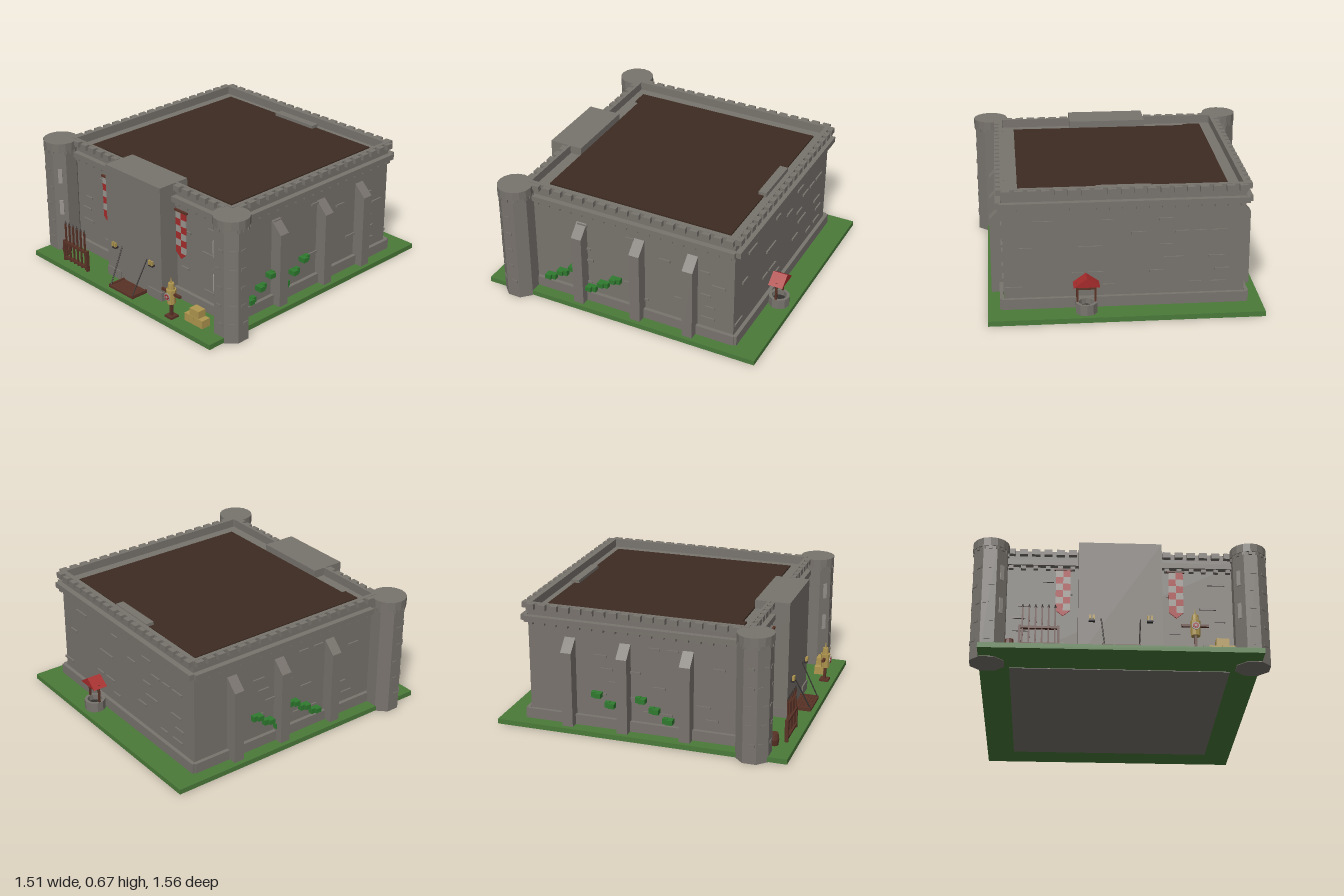
import * as THREE from 'three';
import { mergeGeometries } from 'three/addons/utils/BufferGeometryUtils.js';

const mat = (name, color) => {
  const m = new THREE.MeshStandardMaterial({ color, flatShading: true });
  m.name = name;
  return m;
};

export function createModel() {
  const root = new THREE.Group();
  root.name = 'castle';
  const stone = mat('stone', 0x78736d), grass = mat('grass', 0x4a7a39), roofBrown = mat('roofBrown', 0x3c2b21);
  const wood = mat('wood', 0x5a3226), red = mat('red', 0xa52b2b), straw = mat('straw', 0xb0964f);
  const leaf = mat('leaf', 0x2f7a2f), pale = mat('paleCloth', 0x9a958f), iron = mat('iron', 0x33302e);

  const add = (name, geo, material, parent = root) => {
    const m = new THREE.Mesh(geo, material);
    m.name = name;
    parent.add(m);
    return m;
  };
  // box from its limits on each axis
  const span = (x0, x1, y0, y1, z0, z1) =>
    new THREE.BoxGeometry(x1 - x0, y1 - y0, z1 - z0).translate((x0 + x1) / 2, (y0 + y1) / 2, (z0 + z1) / 2);
  const box = (w, h, d, x, y, z) => new THREE.BoxGeometry(w, h, d).translate(x, y, z);
  // thin rod between two points
  const rod = (a, b, r) => {
    const p = new THREE.Vector3(...a), q = new THREE.Vector3(...b), d = q.clone().sub(p);
    const g = new THREE.CylinderGeometry(r, r, d.length(), 6);
    g.applyQuaternion(new THREE.Quaternion().setFromUnitVectors(new THREE.Vector3(0, 1, 0), d.normalize()));
    return g.translate((p.x + q.x) / 2, (p.y + q.y) / 2, (p.z + q.z) / 2);
  };
  let seed = 7;
  const rand = () => (seed = (seed * 16807) % 2147483647) / 2147483647;

  // ground and floor
  add('grassBase', span(-0.7, 0.695, 0.003, 0.03, -0.75, 0.81), grass);
  add('floor', span(-0.55, 0.55, 0, 0.01, -0.58, 0.58), stone);

  // main block, parapet rim and roof
  add('walls', span(-0.61, 0.61, 0.01, 0.62, -0.595, 0.575), stone);
  const rim = new THREE.Shape([[-0.615, -0.58], [0.615, -0.58], [0.615, 0.6], [-0.615, 0.6]].map(p => new THREE.Vector2(...p)));
  rim.holes.push(new THREE.Path([[-0.595, -0.565], [-0.595, 0.575], [0.595, 0.575], [0.595, -0.565]].map(p => new THREE.Vector2(...p))));
  add('parapet', new THREE.ExtrudeGeometry(rim, { depth: 0.05, bevelEnabled: false }).rotateX(-Math.PI / 2).translate(0, 0.615, 0), stone);
  add('roof', span(-0.535, 0.53, 0.615, 0.628, -0.535, 0.5), roofBrown);
  add('roofCorner', span(-0.535, -0.44, 0.615, 0.628, 0.5, 0.522), roofBrown);
  add('roofStep', span(-0.14, 0.14, 0.615, 0.645, -0.55, -0.505), stone);
  add('gatehouse', span(-0.213, 0.21, 0.01, 0.665, 0.5, 0.685), stone);

  // trim along one wall, built facing +z: merlons, corbel band, plinth, loose bricks
  const trim = (name, length, bricks, x, z, turn, plinth = true) => {
    const parts = [box(length, 0.03, 0.03, 0, 0.585, 0.015)];
    const n = Math.round(length / 0.066), step = length / n;
    for (let i = 0; i < n; i++) {
      const u = -length / 2 + step * (i + 0.5);
      parts.push(box(0.042, 0.03, 0.026, u, 0.649, 0.013));
      parts.push(box(0.024, 0.025, 0.022, u, 0.565, 0.011));
    }
    if (plinth) parts.push(box(length, 0.06, 0.02, 0, 0.055, 0.01));
    for (let i = 0; i < bricks; i++) {
      const row = i % 6;
      const u = (rand() - 0.5) * (length - 0.12);
      parts.push(box(0.05 + rand() * 0.04, 0.012, 0.008, u, 0.14 + row * 0.07, 0.003));
    }
    const m = add(name, mergeGeometries(parts), stone);
    m.position.set(x, 0, z);
    m.rotation.y = turn;
  };
  trim('backTrim', 1.25, 26, 0, -0.6, Math.PI);
  for (const s of [-1, 1]) {
    trim('sideTrim', 1.16, 14, s * 0.613, -0.025, s * Math.PI / 2);
    trim('frontTrim', 0.38, 6, s * 0.4, 0.58, 0);
    add('gatePlinth', span(Math.min(s * 0.11, s * 0.215), Math.max(s * 0.11, s * 0.215), 0.03, 0.08, 0.6, 0.692), stone);

    // sloped buttresses
    const profile = new THREE.Shape([[0.6, 0.03], [0.675, 0.03], [0.675, 0.435], [0.61, 0.5], [0.6, 0.5]].map(p => new THREE.Vector2(...p)));
    for (const z of [0.27, -0.065, -0.365]) {
      const g = new THREE.ExtrudeGeometry(profile, { depth: 0.058, bevelEnabled: false }).translate(0, 0, -0.029);
      if (s < 0) g.rotateY(Math.PI);
      add('buttress', g, stone).position.z = z;
    }

    // climbing plants: two rising runs of three
    const starts = s > 0 ? [0.46, 0.215] : [0.17, -0.07];
    for (const z0 of starts) for (let i = 0; i < 3; i++) {
      const z = z0 - i * 0.073, y = 0.115 + i * 0.048;
      add('ivy', mergeGeometries([
        box(0.04, 0.026, 0.034, s * 0.632, y, z + 0.01),
        box(0.026, 0.03, 0.026, s * 0.626, y, z - 0.016)]), leaf);
    }

    // corner tower with cap, slits and stone studs
    const tower = new THREE.Group();
    tower.name = 'tower';
    tower.position.set(s * 0.66, 0, 0.628);
    root.add(tower);
    add('towerShaft', new THREE.CylinderGeometry(0.092, 0.092, 0.62, 8).rotateY(Math.PI / 8).translate(0, 0.31, 0), stone, tower);
    add('towerCap', new THREE.CylinderGeometry(0.094, 0.094, 0.045, 16).translate(0, 0.64, 0), stone, tower);
    for (let i = 0; i < 16; i++) {
      const a = i * Math.PI / 8;
      add('towerCorbel', box(0.016, 0.02, 0.014, 0, 0.61, 0.085).rotateY(a), stone, tower);
    }
    for (const y of [0.29, 0.475])
      add('arrowSlit', box(0.022, 0.085, 0.008, 0, y, 0.086).rotateY(-s * Math.PI / 4), pale, tower);
    for (let i = 0; i < 15; i++)
      add('towerBrick', box(0.03, 0.014, 0.008, (rand() - 0.5) * 0.03, 0.1 + (i % 5) * 0.1, 0.085)
        .rotateY(s * (i % 3) * Math.PI / 4), stone, tower);

    // checked banner with rod and pointed tail
    const banner = new THREE.Group();
    banner.name = 'banner';
    banner.position.set(s > 0 ? 0.285 : -0.29, 0, 0.614);
    root.add(banner);
    add('bannerRod', box(0.09, 0.01, 0.012, 0, 0.542, 0), wood, banner);
    for (let r = 0; r < 6; r++) for (let c = 0; c < 2; c++)
      add('bannerCheck', box(0.037, 0.038, 0.005, (c - 0.5) * 0.037, 0.518 - r * 0.038, 0), (r + c) % 2 ? red : pale, banner);
    const tail = new THREE.Shape([[-0.037, 0.309], [0, 0.278], [0.037, 0.309]].map(p => new THREE.Vector2(...p)));
    add('bannerTail', new THREE.ExtrudeGeometry(tail, { depth: 0.005, bevelEnabled: false }).translate(0, 0, -0.0025), red, banner);

    // torch and drawbridge chain
    add('torchBracket', box(0.03, 0.01, 0.02, s * 0.145, 0.216, 0.695), iron);
    for (const d of [-0.009, 0.009])
      add('torchFlame', box(0.011, 0.024, 0.012, s * 0.145 + d, 0.232, 0.7), straw);
    add('chain', rod([s * 0.098, 0.23, 0.685], [s * 0.085, 0.045, 0.78], 0.0035), iron);
  }

  // drawbridge planks
  for (let i = 0; i < 6; i++)
    add('drawbridgePlank', box(0.185, 0.012, 0.0155, -0.002, 0.038, 0.694 + i * 0.0168), wood);
  for (const x of [-0.09, 0.086]) add('drawbridgeEdge', box(0.012, 0.018, 0.1, x, 0.04, 0.735), wood);

  // weapon rack
  const rack = [box(0.2, 0.012, 0.018, -0.405, 0.14, 0.755), box(0.2, 0.012, 0.018, -0.405, 0.05, 0.755)];
  for (const x of [-0.5, -0.31]) rack.push(box(0.012, 0.12, 0.018, x, 0.09, 0.755));
  for (let i = 0; i < 6; i++) {
    const x = -0.487 + i * 0.032;
    rack.push(box(0.008, 0.225, 0.008, x, 0.145, 0.755));
  }
  add('weaponRack', mergeGeometries(rack), wood);
  for (let i = 0; i < 6; i++)
    add('spearHead', new THREE.ConeGeometry(0.007, 0.02, 4).translate(-0.487 + i * 0.032, 0.262, 0.755), iron);

  // barrel
  const barrel = [[0, 0.03], [0.021, 0.03], [0.026, 0.062], [0.021, 0.095], [0, 0.095]].map(p => new THREE.Vector2(...p));
  add('barrel', new THREE.LatheGeometry(barrel, 10).translate(-0.55, 0, 0.705), wood);

  // training dummy
  const dummy = new THREE.Group();
  dummy.name = 'trainingDummy';
  dummy.position.set(0.363, 0, 0.757);
  root.add(dummy);
  add('dummyPost', box(0.014, 0.1, 0.014, 0, 0.08, 0), wood, dummy);
  add('dummyFoot', box(0.05, 0.012, 0.05, 0, 0.036, 0), wood, dummy);
  add('dummyArms', box(0.135, 0.013, 0.013, 0, 0.167, 0), wood, dummy);
  add('dummyBody', new THREE.CylinderGeometry(0.027, 0.023, 0.08, 8).translate(0, 0.15, 0), straw, dummy);
  add('dummyHead', new THREE.CylinderGeometry(0.016, 0.018, 0.034, 8).translate(0, 0.207, 0), straw, dummy);
  add('dummyTip', new THREE.ConeGeometry(0.006, 0.04, 5).translate(0, 0.243, 0), straw, dummy);
  [[0.021, pale], [0.015, red], [0.007, pale]].forEach(([r, m], i) =>
    add('dummyTarget', new THREE.CylinderGeometry(r, r, 0.004, 10).rotateX(Math.PI / 2).translate(0, 0.155, 0.028 + i * 0.002), m, dummy));

  // hay bales
  for (const x of [0.465, 0.53]) add('hayBale', box(0.063, 0.044, 0.052, x, 0.053, 0.707), straw);
  add('hayBaleTop', box(0.064, 0.04, 0.048, 0.5, 0.095, 0.707), straw);

  // well: ring, water, posts and gabled roof
  const well = new THREE.Group();
  well.name = 'well';
  well.position.set(0.2, 0, -0.672);
  root.add(well);
  const ring = [[0.04, 0.03], [0.056, 0.03], [0.056, 0.085], [0.04, 0.085], [0.04, 0.03]].map(p => new THREE.Vector2(...p));
  add('wellRing', new THREE.LatheGeometry(ring, 10), stone, well);
  add('wellWater', new THREE.CylinderGeometry(0.041, 0.041, 0.02, 10).translate(0, 0.045, 0), iron, well);
  for (const x of [-0.046, 0.046]) add('wellPost', box(0.01, 0.13, 0.01, x, 0.125, 0), wood, well);
  add('wellBar', box(0.09, 0.009, 0.009, 0, 0.155, 0), wood, well);
  const gable = new THREE.Shape([[-0.066, 0.178], [0.066, 0.178], [0, 0.225]].map(p => new THREE.Vector2(...p)));
  add('wellRoof', new THREE.ExtrudeGeometry(gable, { depth: 0.08, bevelEnabled: false }).translate(0, 0, -0.04), red, well);

  return root;
}
